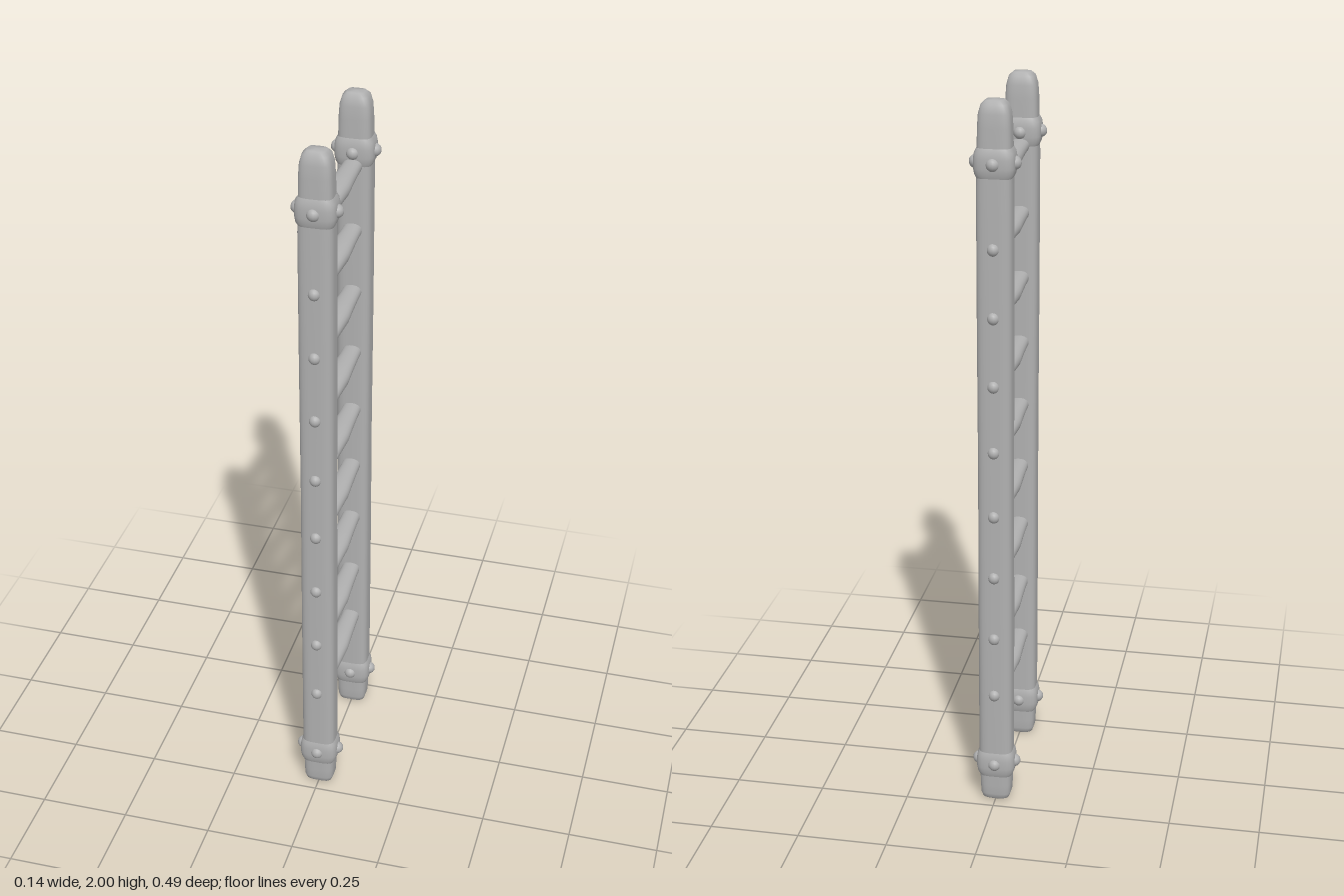
import * as THREE from 'three';
import { mergeVertices } from 'three/addons/utils/BufferGeometryUtils.js';

const wood = new THREE.MeshStandardMaterial({ color: 0xb0b0b0 });
wood.name = 'plain grey';

// Vertical loft: profile is [scale, y] pairs, the section is a rounded rectangle of half-widths a (x) and b (z)
function loft(profile, a, b, power = 4, segments = 40) {
  const lathe = new THREE.LatheGeometry(profile.map(([r, y]) => new THREE.Vector2(r, y)), segments);
  const p = lathe.attributes.position;
  for (let i = 0; i < p.count; i++) {
    const x = p.getX(i), z = p.getZ(i), r = Math.hypot(x, z);
    if (r < 1e-6) continue;
    const c = Math.abs(x / r), s = Math.abs(z / r);
    const k = 1 / Math.pow(c ** power + s ** power, 1 / power);
    p.setX(i, x * k * a);
    p.setZ(i, z * k * b);
  }
  lathe.deleteAttribute('uv');
  lathe.deleteAttribute('normal');
  const g = mergeVertices(lathe, 1e-5);
  g.computeVertexNormals();
  return g;
}

function add(parent, name, geometry, x = 0, y = 0, z = 0) {
  const mesh = new THREE.Mesh(geometry, wood);
  mesh.name = name;
  mesh.position.set(x, y, z);
  parent.add(mesh);
  return mesh;
}

export function createModel() {
  const ladder = new THREE.Group();
  ladder.name = 'ladder';

  const railZ = 0.191;
  const rungHeights = [0.34, 0.515, 0.7, 0.88, 1.065, 1.25, 1.437, 1.62, 1.805];
  const collarHeights = [0.12, 1.84];

  // Rails have softened, slightly narrower ends
  const railGeometry = loft([
    [0, 0], [0.6, 0.002], [0.8, 0.008], [0.9, 0.022], [0.93, 0.05], [0.96, 0.11], [1, 0.16],
    [1, 0.6], [0.98, 1], [1, 1.4], [1, 1.78], [0.96, 1.86], [0.93, 1.93], [0.88, 1.965],
    [0.74, 1.988], [0.5, 1.998], [0, 2],
  ], 0.047, 0.038);
  const collarGeometry = loft([
    [0.84, -0.04], [0.95, -0.028], [1, -0.012], [1, 0.012], [0.95, 0.028], [0.84, 0.04],
  ], 0.054, 0.043);
  const studGeometry = new THREE.SphereGeometry(0.018, 14, 10);

  for (const side of [1, -1]) {
    const rail = new THREE.Group();
    rail.name = side > 0 ? 'frontRail' : 'backRail';
    rail.position.z = side * railZ;
    ladder.add(rail);
    add(rail, 'post', railGeometry);

    // Collars with a stud on each of their four faces
    for (const y of collarHeights) {
      add(rail, 'collar', collarGeometry, 0, y);
      for (const s of [1, -1]) {
        add(rail, 'sideStud', studGeometry, s * 0.05, y);
        add(rail, 'endStud', studGeometry, 0, y, s * 0.036);
      }
    }

    // Small peg heads where the rungs pass through
    for (const y of rungHeights.slice(0, -1)) {
      add(rail, 'peg', studGeometry, 0, y, side * 0.034).scale.set(0.9, 0.95, 0.9);
    }
  }

  // Rungs, thicker at the middle
  const rungGeometry = loft([
    [0.8, -0.18], [0.82, -0.12], [0.9, -0.06], [1, 0], [0.9, 0.06], [0.82, 0.12], [0.8, 0.18],
  ], 0.032, 0.024, 2.3, 24);
  rungGeometry.rotateX(Math.PI / 2);
  for (const y of rungHeights) add(ladder, 'rung', rungGeometry, 0, y);

  return ladder;
}
